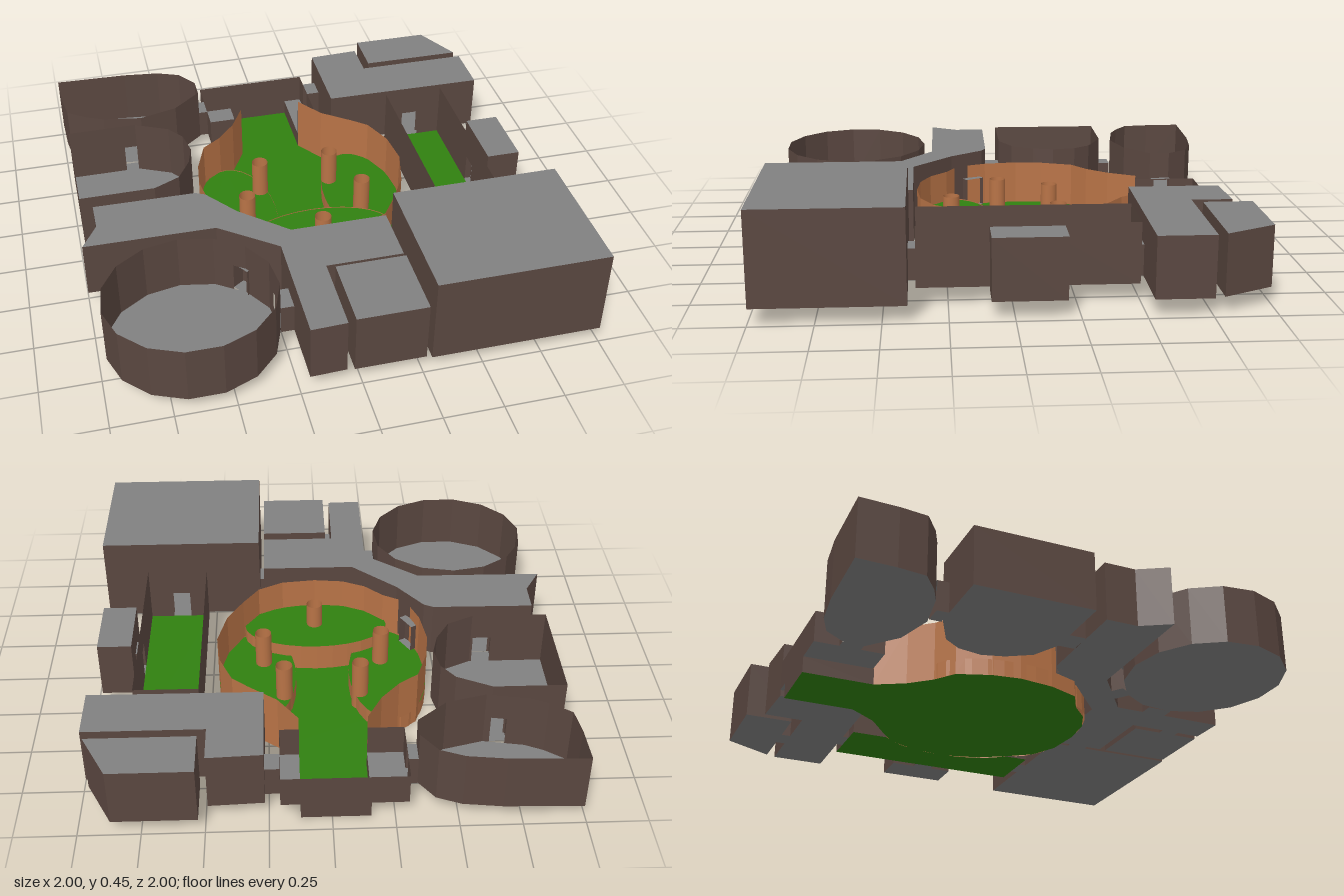
import * as THREE from 'three';

const mat = (name, color) => {
  const m = new THREE.MeshStandardMaterial({ color, side: THREE.DoubleSide });
  m.name = name;
  return m;
};

const BASE = 0.07, TOP = 0.32, DOOR = 0.2;

// Short passages between rooms: x1, z1, x2, z2, width
const LINKS = [
  [-0.345, -0.78, -0.305, -0.78, 0.09], [-0.7, -0.58, -0.7, -0.53, 0.08],
  [-0.705, -0.03, -0.705, 0.04, 0.1], [0.205, -0.82, 0.265, -0.82, 0.09],
  [0.745, -0.795, 0.745, -0.755, 0.1], [0.655, -0.53, 0.655, -0.5, 0.1],
  [0.8, -0.05, 0.83, -0.05, 0.09], [0.655, 0.375, 0.655, 0.405, 0.1],
  [0.265, 0.525, 0.285, 0.525, 0.09], [-0.06, 0.835, -0.03, 0.835, 0.08],
  [-0.265, 0.66, -0.21, 0.66, 0.11], [-0.375, 0.435, -0.31, 0.39, 0.08],
  [-0.435, 0.135, -0.375, 0.1, 0.09],
];
const DOORS = LINKS.flatMap(([x1, z1, x2, z2, w]) => [[x1, z1, w * 0.8], [x2, z2, w * 0.8]]);

const rect = (x1, x2, z1, z2) => [[x1, z1], [x2, z1], [x2, z2], [x1, z2]];

const oval = (cx, cz, rx, rz, n, phase = 0) => Array.from({ length: n }, (_, i) => {
  const a = ((i + phase) / n) * Math.PI * 2;
  return [cx + rx * Math.cos(a), cz + rz * Math.sin(a)];
});

// Flat horizontal sheet from an outline
function sheet(name, pts, y, material) {
  const g = new THREE.ShapeGeometry(new THREE.Shape(pts.map(([x, z]) => new THREE.Vector2(x, -z))));
  g.rotateX(-Math.PI / 2);
  const m = new THREE.Mesh(g, material);
  m.position.y = y;
  m.name = name;
  return m;
}

// Upright sheets along an outline, with doorways cut where passages meet them
function walls(name, pts, y0, y1, material, { closed = true, doors = true } = {}) {
  const pos = [];
  const quad = (a, b, lo, hi) => {
    if (hi - lo < 1e-4 || Math.hypot(b[0] - a[0], b[1] - a[1]) < 1e-4) return;
    const p = [[a, lo], [b, lo], [b, hi], [a, lo], [b, hi], [a, hi]];
    for (const [q, y] of p) pos.push(q[0], y, q[1]);
  };
  const count = closed ? pts.length : pts.length - 1;
  for (let i = 0; i < count; i++) {
    const a = pts[i], b = pts[(i + 1) % pts.length];
    const len = Math.hypot(b[0] - a[0], b[1] - a[1]);
    const dx = (b[0] - a[0]) / len, dz = (b[1] - a[1]) / len;
    const at = (t) => [a[0] + dx * t, a[1] + dz * t];
    const cuts = !doors ? [] : DOORS.map(([x, z, w]) => {
      const t = (x - a[0]) * dx + (z - a[1]) * dz;
      const off = Math.abs((x - a[0]) * dz - (z - a[1]) * dx);
      return off < 0.015 && t > 0 && t < len
        ? [Math.max(0, t - w / 2), Math.min(len, t + w / 2)] : null;
    }).filter(Boolean).sort((p, q) => p[0] - q[0]);
    let s = 0;
    for (const [c0, c1] of cuts) {
      if (c0 < s) continue;
      quad(at(s), at(c0), y0, y1);
      quad(at(c0), at(c1), y0, BASE);
      quad(at(c0), at(c1), DOOR, y1);
      s = c1;
    }
    quad(at(s), b, y0, y1);
  }
  const g = new THREE.BufferGeometry();
  g.setAttribute('position', new THREE.Float32BufferAttribute(pos, 3));
  g.computeVertexNormals();
  const m = new THREE.Mesh(g, material);
  m.name = name;
  return m;
}

export function createModel() {
  const brown = mat('wallBrown', 0x5a4740);
  const gray = mat('floorGray', 0x808080);
  const green = mat('grassGreen', 0x308010);
  const clay = mat('gardenClay', 0xb87346);
  const model = new THREE.Group();
  model.name = 'buildingComplex';

  const room = (name, pts, { roof = false, top = TOP, ground = gray } = {}) => {
    const g = new THREE.Group();
    g.name = name;
    g.add(sheet('floor', pts, BASE, ground), walls('walls', pts, BASE, top, brown));
    if (roof) g.add(sheet('roof', pts, top, gray));
    model.add(g);
  };

  // Open-topped rooms
  room('curvedRoomBack', [[-0.99, -0.98], [-0.67, -0.97], [-0.51, -0.95], [-0.41, -0.91],
    [-0.345, -0.82], [-0.345, -0.73], [-0.47, -0.625], [-0.64, -0.58], [-0.81, -0.61],
    [-0.885, -0.645], [-0.97, -0.705], [-0.985, -0.82]]);
  room('curvedRoomMiddle', [[-0.98, -0.53], [-0.675, -0.53], [-0.53, -0.46], [-0.475, -0.385],
    [-0.455, -0.28], [-0.48, -0.185], [-0.54, -0.085], [-0.655, -0.03], [-0.98, -0.03]]);
  room('roundRoom', oval(-0.617, 0.667, 0.355, 0.33, 15, 0.25));
  room('longLawn', rect(0.53, 0.8, -0.5, 0.375), { ground: green });

  // Roofed rooms
  const roof = true;
  room('forkedCorridor', [[-0.93, 0.04], [-0.49, 0.045], [-0.45, 0.065], [-0.34, 0.21],
    [-0.145, 0.385], [0.265, 0.385], [0.265, 0.64], [-0.06, 0.64], [-0.06, 0.98],
    [-0.21, 0.985], [-0.21, 0.48], [-0.445, 0.3], [-1, 0.295], [-0.93, 0.175]], { roof });
  room('cornerRoom', [[0.265, -0.915], [0.49, -0.925], [0.49, -0.755], [0.985, -0.755],
    [0.985, -0.525], [0.265, -0.53]], { roof });
  room('slantedRoom', [[0.525, -1], [0.865, -1], [0.97, -0.795], [0.525, -0.795]], { roof });
  room('sideRoom', rect(0.83, 0.975, -0.2, 0.09), { roof });
  room('frontRoom', rect(-0.03, 0.265, 0.67, 0.985), { roof, top: 0.335 });
  room('mainHall', rect(0.285, 1, 0.405, 0.995), { roof, top: 0.45 });

  // Passages
  for (const [x1, z1, x2, z2, w] of LINKS) {
    const len = Math.hypot(x2 - x1, z2 - z1);
    const nx = (-(z2 - z1) / len) * w / 2, nz = ((x2 - x1) / len) * w / 2;
    const p = [[x1 + nx, z1 + nz], [x2 + nx, z2 + nz], [x2 - nx, z2 - nz], [x1 - nx, z1 - nz]];
    const g = new THREE.Group();
    g.name = 'passage';
    g.add(sheet('floor', p, BASE, gray), sheet('roof', p, DOOR, gray));
    for (const side of [[p[0], p[1]], [p[3], p[2]]])
      g.add(walls('sideWall', side, BASE, DOOR, brown, { closed: false, doors: false }));
    model.add(g);
  }

  // Sunken garden with its outer wall
  const garden = new THREE.Group();
  garden.name = 'garden';
  const outline = [[-0.155, -0.63], [-0.22, -0.51], [-0.3, -0.42], [-0.385, -0.36],
    [-0.435, -0.22], [-0.45, -0.1], [-0.43, 0.05], [-0.38, 0.18], [-0.28, 0.235],
    [-0.2, 0.31], [-0.1, 0.355], [0.03, 0.37], [0.18, 0.355], [0.29, 0.3], [0.36, 0.2],
    [0.43, 0.08], [0.47, -0.08], [0.455, -0.23], [0.4, -0.36], [0.335, -0.415],
    [0.21, -0.51], [0.125, -0.63]];
  garden.add(sheet('lawn', outline, 0, green),
    walls('gardenWall', outline, 0, 0.26, clay, { closed: false }));

  // Raised oval beds
  for (const [cx, cz, rx, rz, h] of [[-0.278, -0.1, 0.17, 0.32, BASE],
    [0.297, -0.1, 0.17, 0.32, BASE], [0.03, 0.2, 0.325, 0.168, 0.125]]) {
    const pts = oval(cx, cz, rx, rz, 28);
    garden.add(walls('bedRim', pts, 0, h, clay, { doors: false }), sheet('bedLawn', pts, h - 0.004, green));
  }

  // Hollow pillars
  for (const [x, z] of [[0.18, -0.24], [-0.15, -0.23], [-0.255, 0], [0.27, 0], [0.035, 0.22]]) {
    const pillar = new THREE.Mesh(new THREE.CylinderGeometry(0.036, 0.036, 0.23, 16, 1, true), clay);
    pillar.position.set(x, 0.115, z);
    pillar.name = 'pillar';
    garden.add(pillar);
  }
  model.add(garden);

  // Low entrance court with a sunken path between two ledges
  const court = new THREE.Group();
  court.name = 'entranceCourt';
  const open = { closed: false };
  court.add(sheet('path', rect(-0.155, 0.125, -0.93, -0.63), 0, green),
    sheet('ledgeWest', rect(-0.305, -0.155, -0.93, -0.635), BASE, gray),
    sheet('ledgeEast', rect(0.125, 0.205, -0.93, -0.635), BASE, gray),
    walls('pathSides', [[-0.155, -0.63], [-0.155, -0.93], [0.125, -0.93], [0.125, -0.63]], 0, BASE, brown, open),
    walls('courtWall', [[-0.155, -0.635], [-0.305, -0.635], [-0.305, -0.93], [0.205, -0.93],
      [0.205, -0.635], [0.125, -0.635]], BASE, 0.205, brown, open));
  model.add(court);
  return model;
}
